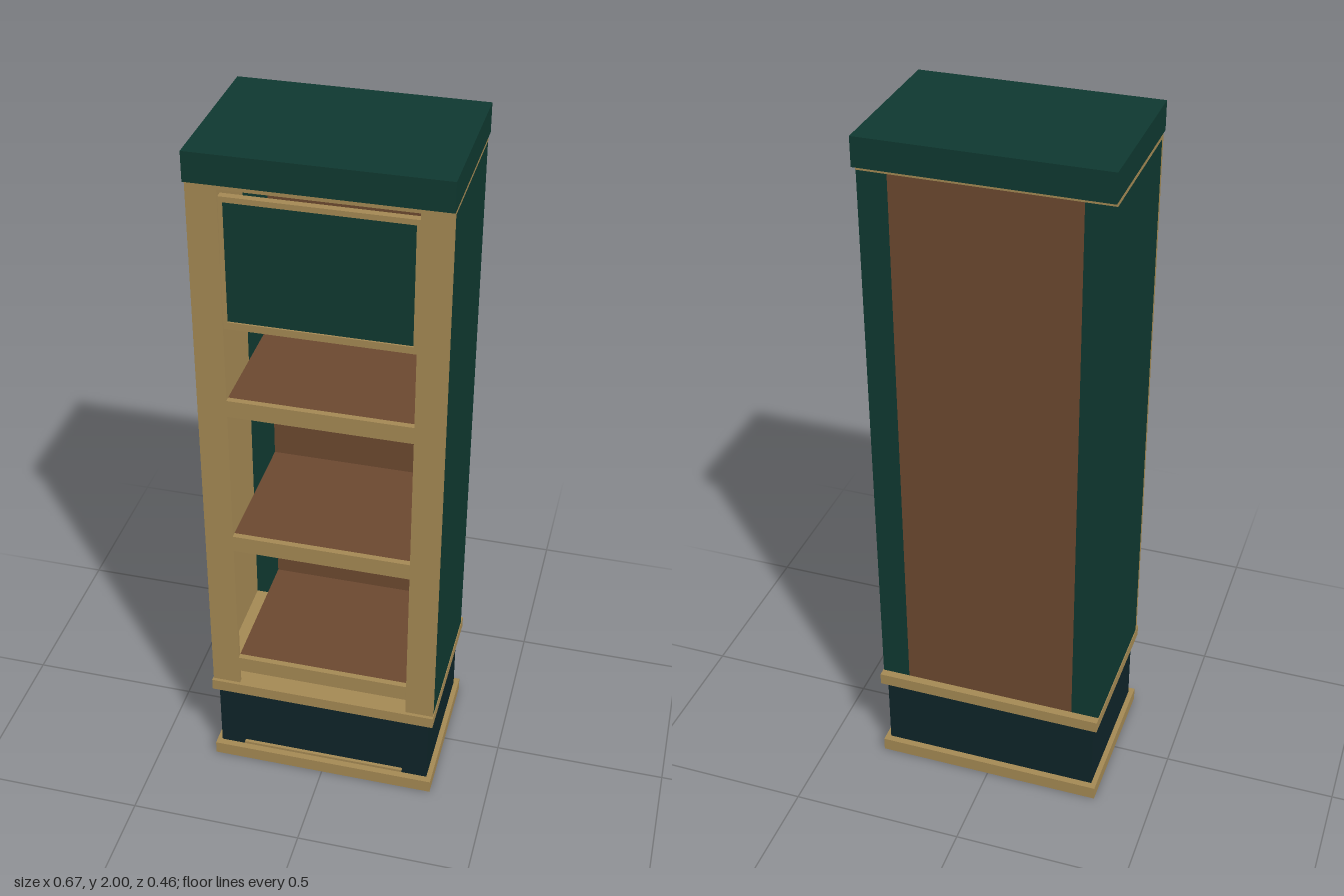
import * as THREE from 'three';

const material = (name, color) => {
  const m = new THREE.MeshStandardMaterial({ color });
  m.name = name;
  return m;
};

export function createModel() {
  const green = material('deep green', 0x0f3830);
  const gold = material('antique gold', 0xa38853);
  const brown = material('walnut brown', 0x6b482f);
  const dark = material('dark teal', 0x0e2428);
  const model = new THREE.Group();
  model.name = 'displayCabinet';

  // Box given by its limits on each axis
  const box = (name, mat, x0, x1, y0, y1, z0, z1) => {
    const mesh = new THREE.Mesh(new THREE.BoxGeometry(x1 - x0, y1 - y0, z1 - z0), mat);
    mesh.position.set((x0 + x1) / 2, (y0 + y1) / 2, (z0 + z1) / 2);
    mesh.name = name;
    model.add(mesh);
  };
  const centred = (name, mat, halfX, y0, y1, z0, z1) => box(name, mat, -halfX, halfX, y0, y1, z0, z1);
  const pair = (name, mat, x0, x1, y0, y1, z0, z1) => {
    box(name + 'Left', mat, x0, x1, y0, y1, z0, z1);
    box(name + 'Right', mat, -x1, -x0, y0, y1, z0, z1);
  };

  // Base
  centred('footSlab', gold, 0.333, 0, 0.04, -0.23, 0.23);
  centred('plinth', dark, 0.318, 0.04, 0.265, -0.21, 0.21);
  centred('plinthBead', gold, 0.243, 0.05, 0.058, 0.205, 0.22);
  centred('ledge', gold, 0.333, 0.265, 0.3, -0.23, 0.23);

  // Hollow cabinet shell with lined sides
  pair('sidePanel', green, 0.326, 0.331, 0.3, 1.905, -0.207, 0.207);
  pair('sideLining', gold, 0.32, 0.326, 0.3, 1.905, -0.195, 0.207);
  pair('backStile', green, 0.25, 0.326, 0.3, 1.905, -0.207, -0.195);
  centred('backPanel', brown, 0.25, 0.3, 1.905, -0.207, -0.195);

  // Front frame and crown
  pair('frontPost', gold, 0.25, 0.331, 0.3, 1.905, 0.207, 0.22);
  centred('crownTrim', gold, 0.331, 1.905, 1.92, -0.21, 0.22);
  centred('topCap', green, 0.333, 1.92, 2, -0.23, 0.23);

  // Shelves with gold front rails
  for (const y of [0.4, 0.85, 1.3]) {
    centred('shelf', brown, 0.25, y - 0.03, y, -0.195, 0.205);
    centred('shelfRail', gold, 0.25, y - 0.05, y, 0.205, 0.222);
  }

  // Framed upper door
  centred('doorPanel', green, 0.24, 1.535, 1.87, 0.195, 0.21);
  pair('doorStile', gold, 0.24, 0.25, 1.515, 1.885, 0.195, 0.215);
  centred('doorTopRail', gold, 0.24, 1.87, 1.885, 0.195, 0.215);
  centred('doorBottomRail', gold, 0.24, 1.515, 1.535, 0.195, 0.215);

  return model;
}
